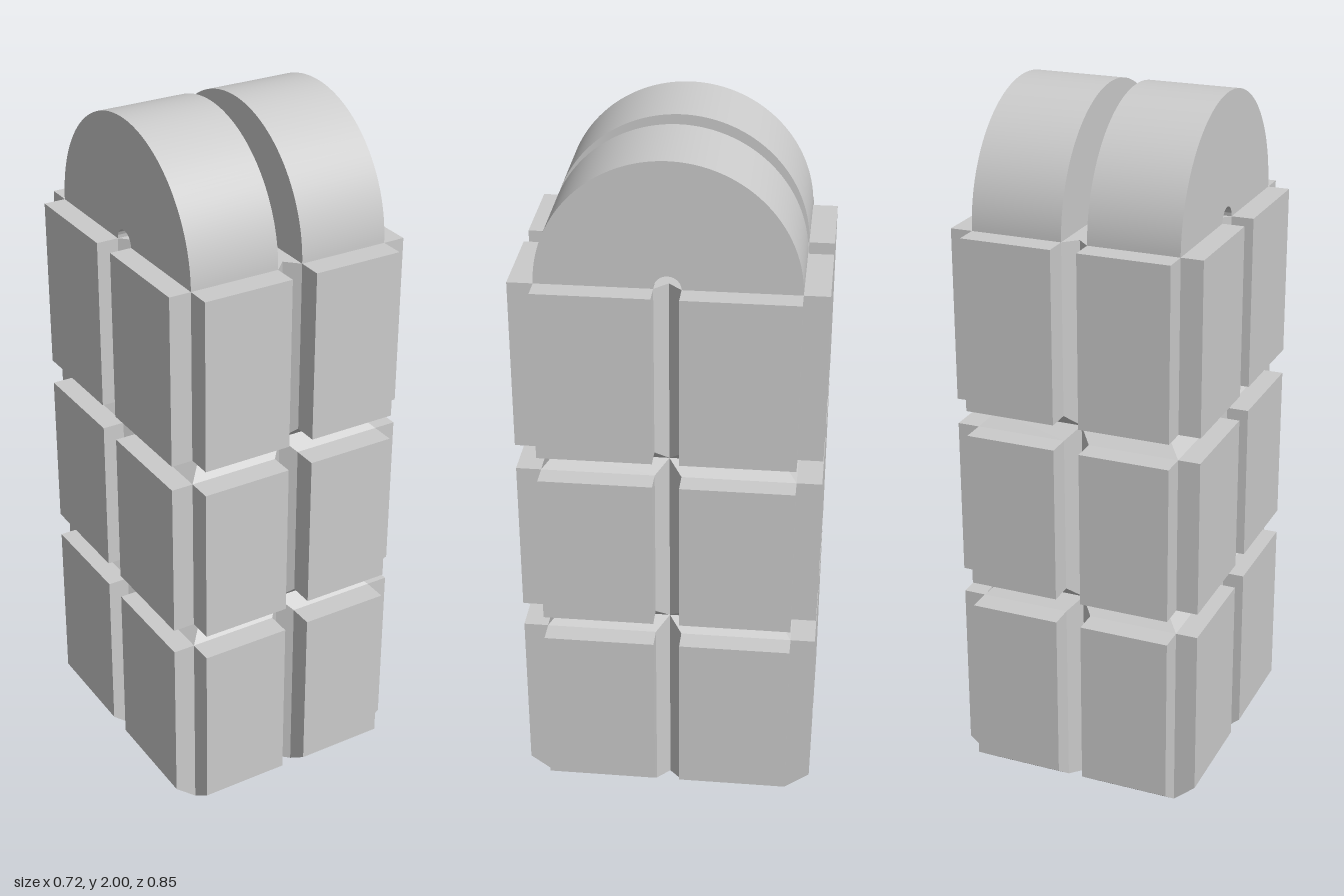
import * as THREE from 'three';
import { toCreasedNormals } from 'three/addons/utils/BufferGeometryUtils.js';

const HX = 0.297, HZ = 0.353;   // half width and half depth of the core
const G = 0.037;                // depth and half width of the V grooves
const TOP = 1.647;
const PAD_X = 0.063, PAD_Z = 0.07;
const ROWS = [[0, 0.549], [0.623, 1.08], [1.154, TOP]];

const material = new THREE.MeshStandardMaterial({ color: 0xcccccc });

function addMesh(parent, geometry, name) {
  const mesh = new THREE.Mesh(geometry, material);
  mesh.name = name;
  parent.add(mesh);
  return mesh;
}

// Rectangle inset by d, with a V notch in the middle of each side
function section(y, d) {
  const x = HX - d, z = HZ - d, n = G - d, tx = HX - G, tz = HZ - G;
  return [
    [x, z], [n, z], [0, tz], [-n, z],
    [-x, z], [-x, n], [-tx, 0], [-x, -n],
    [-x, -z], [-n, -z], [0, -tz], [n, -z],
    [x, -z], [x, -n], [tx, 0], [x, n],
  ].map(([px, pz]) => [px, y, pz]);
}

// Grooved core lofted through the sections, pinched between the rows
function coreGeometry() {
  const levels = [];
  ROWS.forEach(([y0, y1], i) => {
    levels.push(section(y0, 0), section(y1, 0));
    if (i < 2) levels.push(section((y1 + ROWS[i + 1][0]) / 2, G));
  });
  const pos = [];
  const tri = (a, b, c) => pos.push(...a, ...b, ...c);
  const last = levels[levels.length - 1];
  for (let i = 0; i < 16; i++) {
    const j = (i + 1) % 16;
    for (let k = 0; k < levels.length - 1; k++) {
      const a = levels[k], b = levels[k + 1];
      tri(a[i], b[i], b[j]);
      tri(a[i], b[j], a[j]);
    }
    tri([0, 0, 0], levels[0][i], levels[0][j]);
    tri([0, TOP, 0], last[j], last[i]);
  }
  const g = new THREE.BufferGeometry();
  g.setAttribute('position', new THREE.Float32BufferAttribute(pos, 3));
  g.computeVertexNormals();
  return g;
}

// Raised pad: side profile (outward, up) extruded along its width
function padGeometry(depth, width, y0, y1, chamfer) {
  const shape = new THREE.Shape([
    new THREE.Vector2(0, y0), new THREE.Vector2(depth, y0 + chamfer),
    new THREE.Vector2(depth, y1), new THREE.Vector2(0, y1),
  ]);
  return new THREE.ExtrudeGeometry(shape, { depth: width, bevelEnabled: false });
}

// Half disc with a small half-round hole, extruded across x
function archGeometry() {
  const shape = new THREE.Shape();
  shape.absarc(0, 0, HZ, 0, Math.PI, false);
  shape.absarc(0, 0, G, Math.PI, 0, true);
  shape.closePath();
  const g = new THREE.ExtrudeGeometry(shape, { depth: HX - G, bevelEnabled: false, curveSegments: 48 });
  g.rotateY(Math.PI / 2);
  return toCreasedNormals(g, 0.5);
}

export function createModel() {
  const model = new THREE.Group();
  model.name = 'paddedPouch';

  addMesh(model, coreGeometry(), 'core');

  // Two columns of three pads on each of the four faces
  const faces = [
    ['leftPads', 0, HX, PAD_X, HZ - G],
    ['backPads', Math.PI / 2, HZ, PAD_Z, HX - G],
    ['rightPads', Math.PI, HX, PAD_X, HZ - G],
    ['frontPads', -Math.PI / 2, HZ, PAD_Z, HX - G],
  ];
  for (const [name, angle, offset, depth, width] of faces) {
    const face = new THREE.Group();
    face.name = name;
    face.rotation.y = angle;
    ROWS.forEach(([y0, y1], row) => {
      const geometry = padGeometry(depth, width, y0, y1, row === 0 ? 0.053 : 0);
      for (const z of [G, -G - width]) {
        addMesh(face, geometry, 'pad').position.set(offset, 0, z);
      }
    });
    model.add(face);
  }

  // Twin rounded arches on top
  const arch = archGeometry();
  addMesh(model, arch, 'leftArch').position.set(G, TOP, 0);
  addMesh(model, arch, 'rightArch').position.set(-HX, TOP, 0);

  return model;
}
